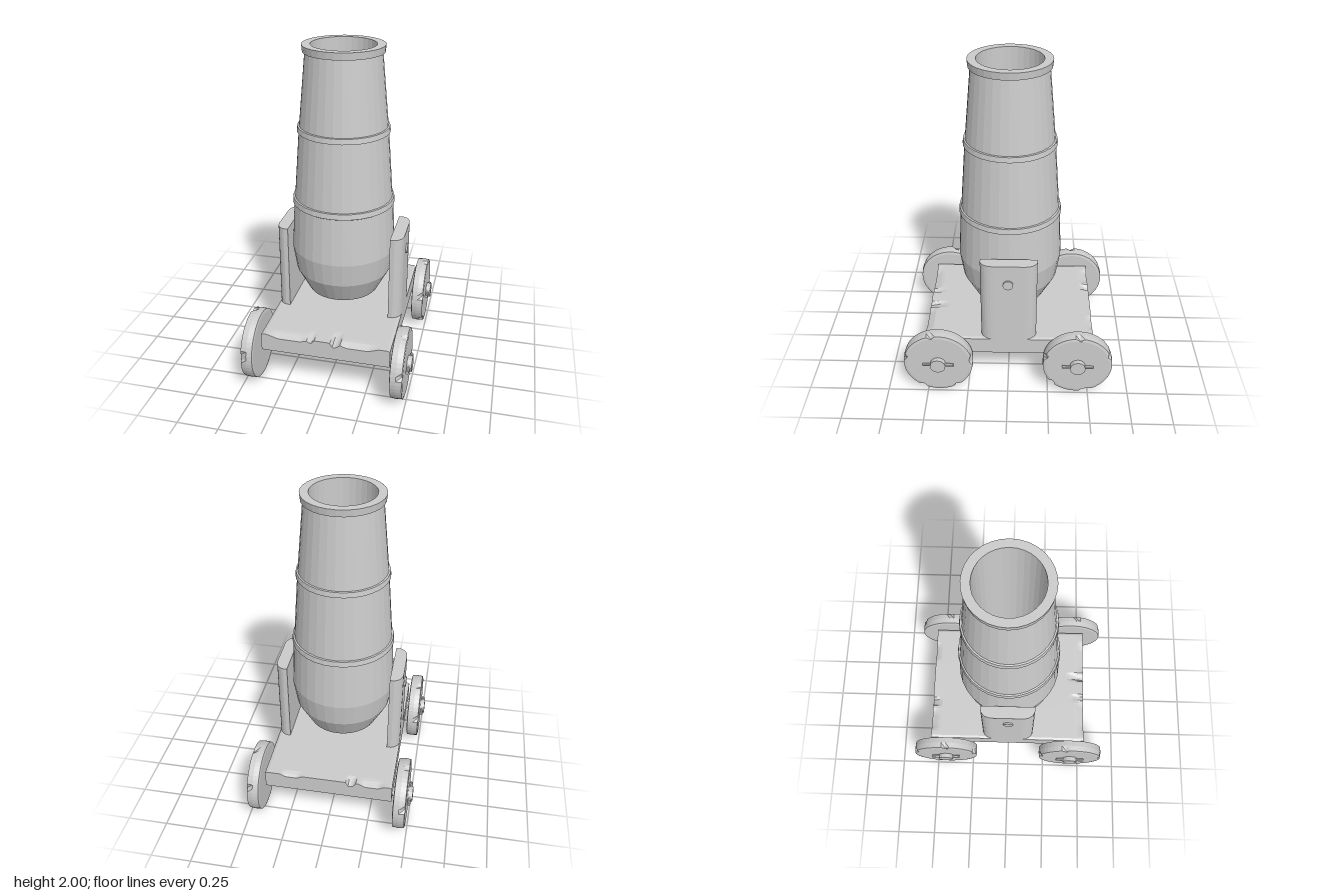
import * as THREE from 'three';

const material = new THREE.MeshStandardMaterial({ color: 0xcccccc, flatShading: true });

function add(parent, name, geometry, x = 0, y = 0, z = 0) {
  const mesh = new THREE.Mesh(geometry, material);
  mesh.name = name;
  mesh.position.set(x, y, z);
  parent.add(mesh);
  return mesh;
}

const lathe = (points, segments) =>
  new THREE.LatheGeometry(points.map(([r, y]) => new THREE.Vector2(r, y)), segments);

const rodX = (radius, length, sides = 16) =>
  new THREE.CylinderGeometry(radius, radius, length, sides).rotateZ(Math.PI / 2);
const rodZ = (radius, length, sides = 16) =>
  new THREE.CylinderGeometry(radius, radius, length, sides).rotateX(Math.PI / 2);

// Moves every vertex of a geometry by a rule
function deform(geometry, rule) {
  const p = geometry.attributes.position;
  const v = new THREE.Vector3();
  for (let i = 0; i < p.count; i++) {
    v.fromBufferAttribute(p, i);
    rule(v);
    p.setXYZ(i, v.x, v.y, v.z);
  }
  geometry.computeVertexNormals();
  return geometry;
}

// Plank with splintered front and back top edges
function platformGeometry() {
  // [edge sign, centre x, half width, reach inward, depth]
  const chips = [
    [1, -0.22, 0.14, 0.05, 0.022], [1, 0.06, 0.03, 0.12, 0.03],
    [1, 0.2, 0.13, 0.045, 0.022], [1, -0.09, 0.025, 0.09, 0.02],
    [-1, -0.27, 0.08, 0.05, 0.02], [-1, -0.14, 0.03, 0.06, 0.03],
    [-1, 0.23, 0.07, 0.035, 0.018],
  ];
  const hx = 0.395, hy = 0.057, hz = 0.522;
  const geometry = new THREE.BoxGeometry(2 * hx, 2 * hy, 2 * hz, 50, 1, 50);
  return deform(geometry, (v) => {
    if (v.y < 0) return;
    let drop = 0;
    for (const [sign, cx, half, reach, depth] of chips) {
      const across = 1 - Math.abs(v.x - cx) / half;
      const inward = 1 - (hz - sign * v.z) / reach;
      if (across > 0 && inward > 0) drop = Math.max(drop, depth * Math.min(1, across * 2) * inward);
    }
    // worn corners
    if (Math.abs(v.x) > hx - 0.001) drop = Math.max(drop, 0.006);
    v.y -= drop;
  });
}

// Upright cheek, flat inside and rounded outside
function postGeometry() {
  const s = new THREE.Shape();
  s.moveTo(0.318, -0.17);
  s.lineTo(0.345, -0.17);
  s.quadraticCurveTo(0.395, -0.155, 0.395, -0.09);
  s.lineTo(0.395, 0.09);
  s.quadraticCurveTo(0.395, 0.155, 0.345, 0.17);
  s.lineTo(0.318, 0.17);
  s.closePath();
  return new THREE.ExtrudeGeometry(s, { depth: 0.565, bevelEnabled: false, curveSegments: 6 })
    .rotateX(-Math.PI / 2);
}

// Solid disc wheel with nicks in the outer rim
function wheelGeometry() {
  const h = 0.039;
  const nicks = [3, 11, 19, 20, 32, 41];
  const sides = 48;
  const disc = lathe([[0, -h], [0.195, -h], [0.212, -h + 0.004], [0.215, 0],
    [0.212, h - 0.004], [0.195, h], [0, h]], sides);
  deform(disc, (v) => {
    const r = Math.hypot(v.x, v.z);
    if (r < 0.205 || v.y < 0.01) return;
    const step = Math.round((Math.atan2(v.x, v.z) / (2 * Math.PI)) * sides + sides) % sides;
    if (nicks.includes(step)) {
      v.x *= 0.92;
      v.z *= 0.92;
    }
  });
  return disc.rotateZ(-Math.PI / 2);
}

export function createModel() {
  const model = new THREE.Group();
  model.name = 'mortarCannon';

  // Barrel: one turned profile up the outside and down the bore
  add(model, 'barrel', lathe([
    [0, 0.455], [0.22, 0.455], [0.297, 0.6], [0.32, 0.75], [0.304, 1.045],
    [0.312, 1.05], [0.308, 1.083], [0.298, 1.085], [0.267, 1.493],
    [0.277, 1.496], [0.273, 1.528], [0.263, 1.53], [0.223, 1.955],
    [0.236, 1.958], [0.24, 2], [0.19, 2], [0.188, 0.8], [0, 0.8],
  ], 32), -0.004, 0, -0.003);

  // Carriage bed, uprights and trunnion
  add(model, 'platform', platformGeometry(), 0, 0.285, -0.006);
  for (const side of [1, -1]) {
    const post = add(model, side > 0 ? 'leftPost' : 'rightPost', postGeometry(), 0, 0.32, -0.003);
    if (side < 0) post.rotation.y = Math.PI;
  }
  add(model, 'trunnionPin', rodX(0.031, 0.81), 0, 0.755, 0);

  // Running gear
  add(model, 'connectingRod', rodZ(0.022, 0.86), 0, 0.215, 0);
  for (const end of [1, -1]) {
    const z = end * 0.43;
    add(model, end > 0 ? 'frontAxle' : 'rearAxle', rodX(0.03, 0.98), 0, 0.217, z);
    for (const side of [1, -1]) {
      const assembly = new THREE.Group();
      assembly.name = (end > 0 ? 'front' : 'rear') + (side > 0 ? 'Left' : 'Right') + 'Wheel';
      assembly.position.set(side * 0.451, 0.215, z);
      if (side < 0) assembly.rotation.y = Math.PI;
      add(assembly, 'disc', wheelGeometry()).rotation.x = end * 0.7;
      add(assembly, 'hub', rodX(0.048, 0.05, 12), 0.043);
      add(assembly, 'linchpin', rodZ(0.01, 0.19, 8), 0.05);
      model.add(assembly);
    }
  }
  return model;
}
